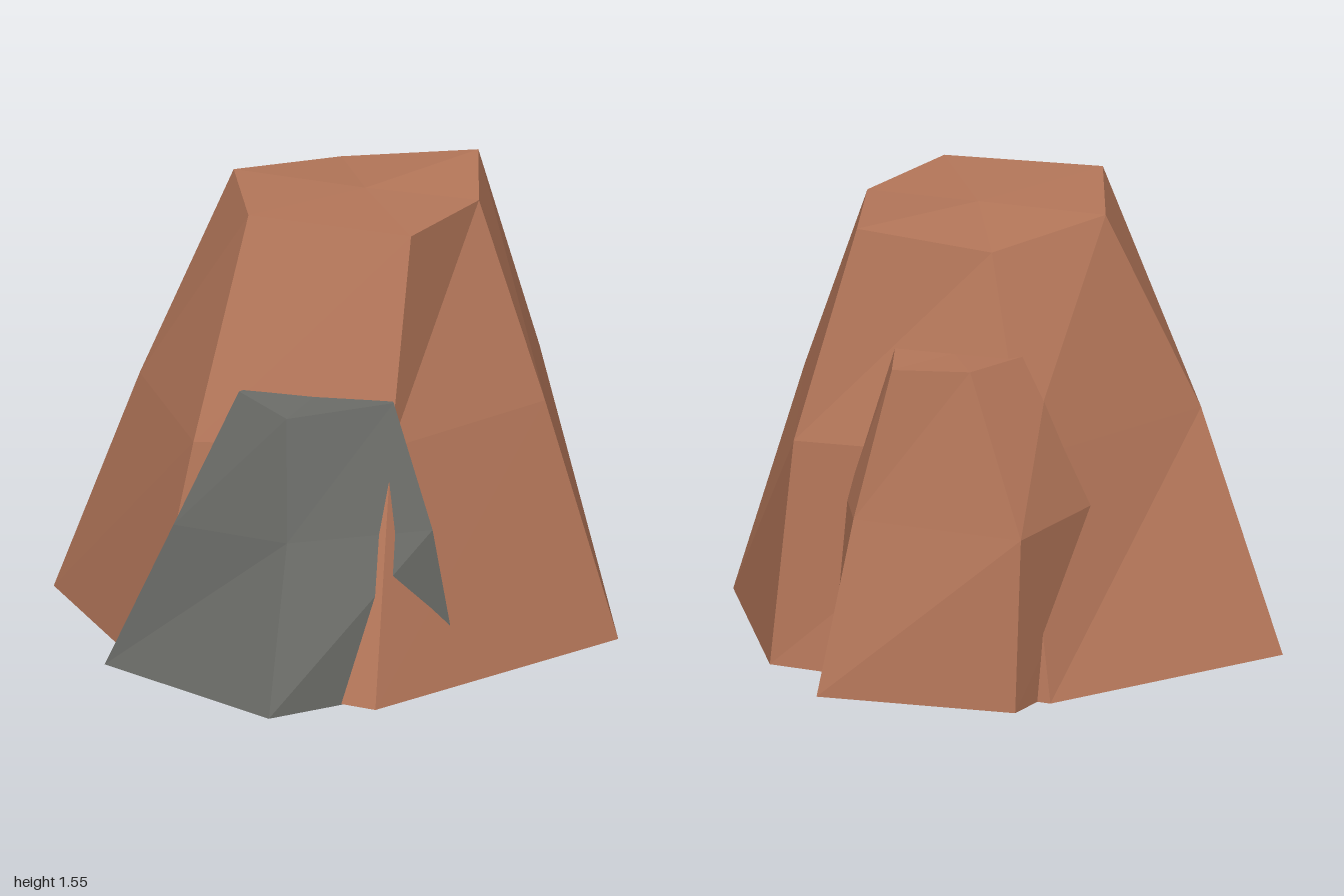
import * as THREE from 'three';

const clay = new THREE.MeshStandardMaterial({ color: 0xb5775a });
clay.name = 'clay brown';
const slate = new THREE.MeshStandardMaterial({ color: 0x6b6c68 });
slate.name = 'slate grey';

// Faceted rock from stacked rings of [x, y, z], counter-clockwise from above
function rock(name, material, rings) {
  const pos = [];
  const tri = (a, b, c) => pos.push(...a, ...b, ...c);
  const centre = (ring) => [0, 1, 2].map((k) => ring.reduce((s, p) => s + p[k], 0) / ring.length);
  const n = rings[0].length;
  const base = rings[0];
  const top = rings[rings.length - 1];
  const baseMid = centre(base);
  const topMid = centre(top);
  for (let i = 0; i < n; i++) {
    const j = (i + 1) % n;
    for (let r = 0; r < rings.length - 1; r++) {
      const lo = rings[r], hi = rings[r + 1];
      tri(lo[i], lo[j], hi[j]);
      tri(lo[i], hi[j], hi[i]);
    }
    tri(topMid, top[i], top[j]);
    tri(baseMid, base[j], base[i]);
  }
  const geo = new THREE.BufferGeometry();
  geo.setAttribute('position', new THREE.Float32BufferAttribute(pos, 3));
  geo.computeVertexNormals();
  const mesh = new THREE.Mesh(geo, material);
  mesh.name = name;
  return mesh;
}

export function createModel() {
  const group = new THREE.Group();
  group.name = 'rockCluster';

  // Large six-sided boulder
  group.add(rock('mainBoulder', clay, [
    [[-0.65, 0, 0.87], [0.49, 0, 0.85], [0.9, 0, 0.11], [0.4, 0, -0.82], [-0.56, 0, -0.88], [-0.94, 0, 0.01]],
    [[-0.37, 0.83, 0.64], [0.35, 0.84, 0.63], [0.82, 0.8, 0.08], [0.36, 0.82, -0.62], [-0.46, 0.83, -0.55], [-0.77, 0.8, 0.07]],
    [[-0.17, 1.52, 0.52], [0.27, 1.52, 0.38], [0.6, 1.54, 0.01], [0.3, 1.49, -0.36], [-0.17, 1.54, -0.39], [-0.48, 1.545, 0.03]],
  ]));

  // Smaller boulder leaning on the back left
  group.add(rock('backBoulder', clay, [
    [[0.79, 0, -0.1], [0.99, 0, -0.27], [0.56, 0, -0.83], [0.1, 0, -0.65], [0.3, 0, -0.1]],
    [[0.7, 0.61, -0.06], [0.83, 0.61, -0.27], [0.52, 0.61, -0.81], [-0.06, 0.61, -0.59], [0.3, 0.61, -0.06]],
    [[0.55, 1.14, -0.14], [0.71, 1.14, -0.33], [0.54, 1.155, -0.55], [0.12, 1.14, -0.47], [0.25, 1.14, -0.14]],
  ]));

  // Grey stone wedged into the front right
  group.add(rock('greyStone', slate, [
    [[-0.98, -0.003, 0.69], [-0.22, -0.003, 0.83], [-0.1, -0.003, 0.6], [-0.5, -0.003, -0.16], [-1, -0.003, -0.13]],
    [[-0.77, 0.55, 0.55], [-0.3, 0.55, 0.775], [-0.15, 0.55, 0.55], [-0.5, 0.55, 0], [-0.88, 0.53, 0.09]],
    [[-0.7, 0.965, 0.47], [-0.34, 0.98, 0.62], [-0.2, 0.98, 0.4], [-0.4, 0.98, 0.15], [-0.65, 0.98, 0.17]],
  ]));

  return group;
}
